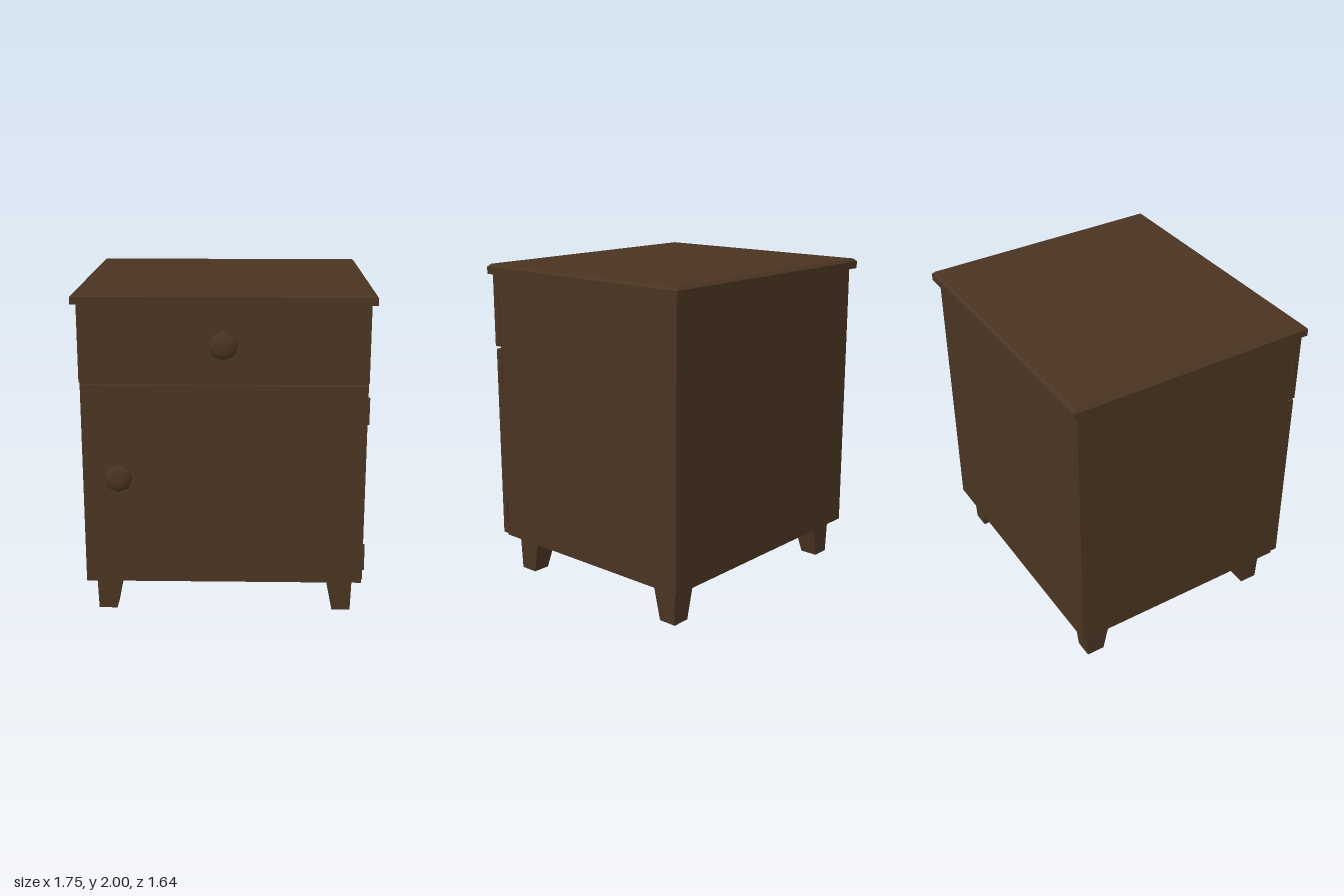
import * as THREE from 'three';

const wood = new THREE.MeshStandardMaterial({ color: 0x4a3422 });
wood.name = 'dark brown wood';

function addMesh(parent, name, geometry) {
  const mesh = new THREE.Mesh(geometry, wood);
  mesh.name = name;
  parent.add(mesh);
  return mesh;
}

// Box given by its limits on each axis
function addBox(parent, name, [x0, x1], [y0, y1], [z0, z1]) {
  const mesh = addMesh(parent, name, new THREE.BoxGeometry(x1 - x0, y1 - y0, z1 - z0));
  mesh.position.set((x0 + x1) / 2, (y0 + y1) / 2, (z0 + z1) / 2);
  return mesh;
}

// Six-sided block whose top and bottom rectangles differ: [x0, x1, z0, z1]
function taperedBlock(bottom, top, y0, y1) {
  const geometry = new THREE.BoxGeometry(1, 1, 1);
  const p = geometry.attributes.position;
  for (let i = 0; i < p.count; i++) {
    const isTop = p.getY(i) > 0;
    const r = isTop ? top : bottom;
    p.setXYZ(i, p.getX(i) < 0 ? r[0] : r[1], isTop ? y1 : y0, p.getZ(i) < 0 ? r[2] : r[3]);
  }
  geometry.computeVertexNormals();
  return geometry;
}

// Turned knob, its axis pointing forward
function addKnob(parent, name, x, y) {
  const profile = [
    [0.05, 0], [0.042, 0.016], [0.046, 0.028], [0.07, 0.042], [0.083, 0.056],
    [0.083, 0.068], [0.068, 0.086], [0.04, 0.095], [0, 0.097],
  ].map(([r, h]) => new THREE.Vector2(r, h));
  const knob = addMesh(parent, name, new THREE.LatheGeometry(profile, 8));
  knob.rotation.x = Math.PI / 2;
  knob.position.set(x, y, 0.725);
}

export function createModel() {
  const model = new THREE.Group();
  model.name = 'bedsideCabinet';

  // Carcass
  addBox(model, 'body', [-0.845, 0.845], [0.23, 1.94], [-0.785, 0.675]);

  // Top board with a chamfered upper edge
  const top = new THREE.Group();
  top.name = 'topBoard';
  model.add(top);
  const full = [-0.876, 0.876, -0.82, 0.738];
  const inset = [-0.858, 0.858, -0.802, 0.72];
  addMesh(top, 'topEdge', taperedBlock(full, full, 1.938, 1.982));
  addMesh(top, 'topChamfer', taperedBlock(full, inset, 1.982, 2));

  // Drawer
  const drawer = new THREE.Group();
  drawer.name = 'drawer';
  model.add(drawer);
  addBox(drawer, 'drawerFront', [-0.843, 0.843], [1.482, 1.938], [0.682, 0.726]);
  addBox(drawer, 'drawerBox', [-0.79, 0.79], [1.53, 1.85], [0.67, 0.684]);
  addKnob(drawer, 'drawerKnob', 0, 1.713);

  // Door hung on the model's left
  const door = new THREE.Group();
  door.name = 'door';
  model.add(door);
  addBox(door, 'doorPanel', [-0.836, 0.836], [0.235, 1.462], [0.682, 0.726]);
  addKnob(door, 'doorKnob', -0.62, 0.917);
  for (const y of [0.385, 1.305]) {
    addBox(door, 'hinge', [0.825, 0.853], [y - 0.08, y + 0.08], [0.668, 0.696]);
  }

  // Tapered legs, slanted on their inner faces
  for (const sx of [-1, 1]) {
    for (const sz of [-1, 1]) {
      const rect = (xi, xo, zi, zo) => [
        Math.min(sx * xi, sx * xo), Math.max(sx * xi, sx * xo),
        Math.min(sz * zi, sz * zo) - 0.056, Math.max(sz * zi, sz * zo) - 0.056,
      ];
      addMesh(model, (sz > 0 ? 'front' : 'back') + (sx > 0 ? 'Left' : 'Right') + 'Leg',
        taperedBlock(rect(0.67, 0.783, 0.55, 0.665), rect(0.624, 0.79, 0.504, 0.672), 0, 0.23));
    }
  }

  return model;
}
